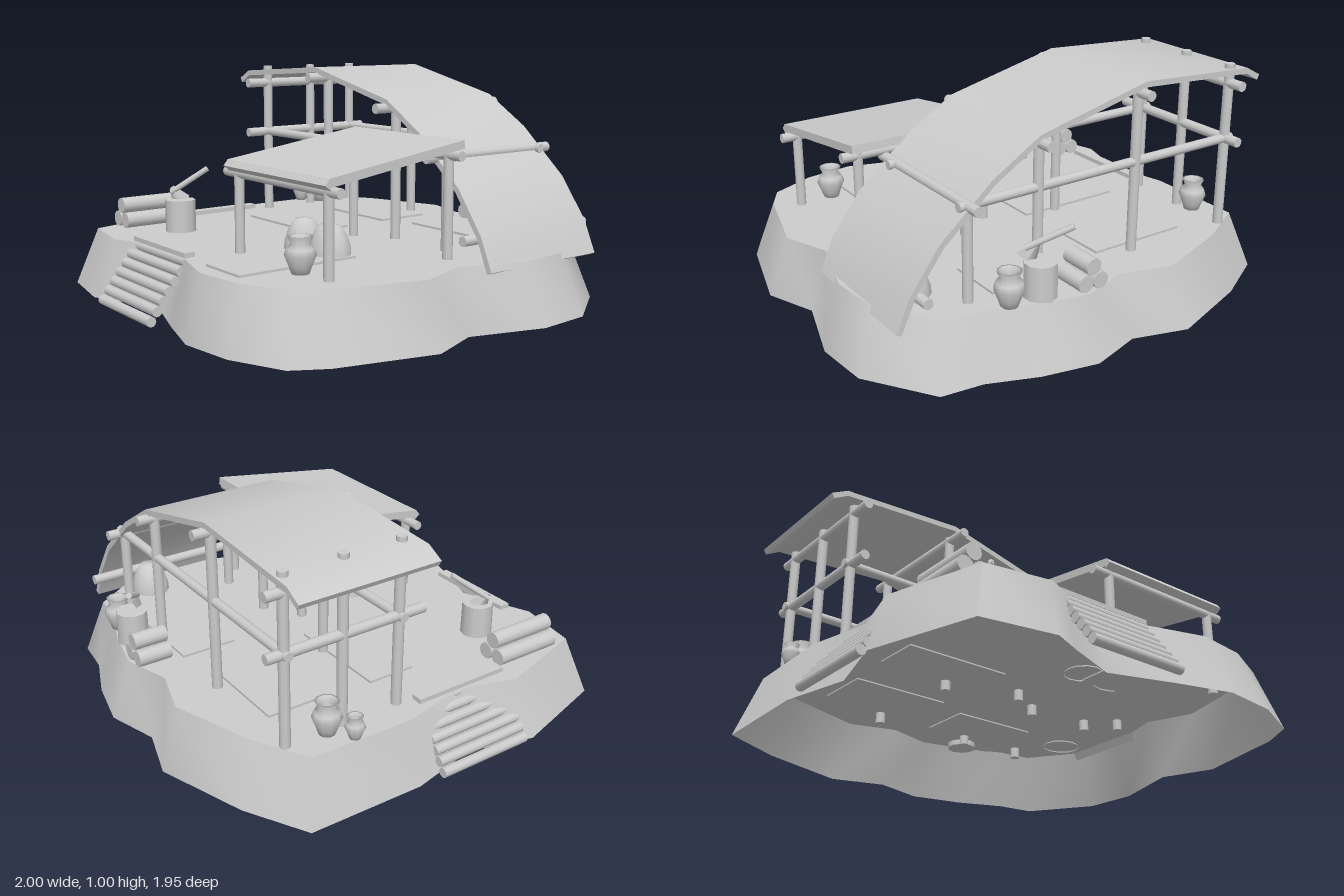
import * as THREE from 'three';
import { toCreasedNormals } from 'three/addons/utils/BufferGeometryUtils.js';

const GROUND = 0.26;
const V = (x, y, z) => new THREE.Vector3(x, y, z);

export function createModel() {
  const root = new THREE.Group();
  const mat = new THREE.MeshStandardMaterial({ color: 0xcccccc, side: THREE.DoubleSide });

  const add = (name, geo, parent = root) => {
    const m = new THREE.Mesh(geo, mat);
    m.name = name;
    parent.add(m);
    return m;
  };
  const group = (name) => {
    const g = new THREE.Group();
    g.name = name;
    root.add(g);
    return g;
  };
  // Round pole between two points
  const pole = (name, a, b, r, parent, sides = 10) => {
    const d = b.clone().sub(a);
    const m = add(name, new THREE.CylinderGeometry(r, r, d.length(), sides), parent);
    m.position.copy(a).addScaledVector(d, 0.5);
    m.quaternion.setFromUnitVectors(V(0, 1, 0), d.normalize());
    return m;
  };

  // Earth mound: sloping skirt and flat top, open below
  const outline = [
    [-0.96, -0.7], [-0.7, -0.845], [-0.31, -0.98], [-0.07, -0.91], [0.16, -0.98], [0.4, -0.93],
    [0.61, -0.85], [0.79, -0.83], [0.98, -0.55], [1, -0.3], [0.9, 0.03], [0.99, 0.26],
    [0.88, 0.68], [0.8, 0.82], [0.57, 0.92], [0.32, 0.95], [0.08, 0.88], [-0.19, 0.79],
    [-0.41, 0.87], [-0.54, 0.925], [-0.845, 0.87], [-0.98, 0.41], [-0.9, 0.12], [-0.97, -0.19],
  ];
  const k = 0.91, n = outline.length, pos = [], idx = [];
  outline.forEach(([x, z], i) => {
    pos.push(x, 0, z, x * k, GROUND, z * k);
    const b = 2 * i, c = 2 * ((i + 1) % n);
    idx.push(b, b + 1, c + 1, b, c + 1, c);
  });
  const skirt = new THREE.BufferGeometry();
  skirt.setAttribute('position', new THREE.Float32BufferAttribute(pos, 3));
  skirt.setIndex(idx);
  add('moundSide', toCreasedNormals(skirt, 0.9));
  const topShape = new THREE.Shape(outline.map(([x, z]) => new THREE.Vector2(x * k, -z * k)));
  add('moundTop', new THREE.ShapeGeometry(topShape).rotateX(-Math.PI / 2).translate(0, GROUND, 0));

  // Log steps: built facing +z, then turned
  const steps = (name, x, z, turn) => {
    const g = group(name);
    for (let i = 0; i < 7; i++) {
      const y = 0.022 + i * 0.037, out = 0.09 - i * 0.028;
      pole('stepLog', V(-0.222, y, out), V(0.222, y, out), 0.022, g);
    }
    add('stepBoard', new THREE.BoxGeometry(0.444, 0.02, 0.05), g).position.set(0, 0.272, -0.09);
    g.position.set(x, 0, z);
    g.rotation.y = turn;
  };
  steps('frontSteps', -0.185, 0.855, 0);
  steps('sideSteps', -0.885, 0.14, -Math.PI / 2);

  // Sheet of given thickness following a profile, extruded along its depth
  const sheet = (pts, t, depth) => {
    const s = new THREE.Shape();
    pts.forEach(([x, y], i) => (i ? s.lineTo(x, y) : s.moveTo(x, y)));
    [...pts].reverse().forEach(([x, y], i, a) => {
      const p = a[Math.max(i - 1, 0)], q = a[Math.min(i + 1, a.length - 1)];
      const dx = p[0] - q[0], dy = p[1] - q[1], l = Math.hypot(dx, dy);
      s.lineTo(x + (dy / l) * t, y - (dx / l) * t);
    });
    return toCreasedNormals(new THREE.ExtrudeGeometry(s, { depth, bevelEnabled: false }), 0.7);
  };

  // Large shelter with a curved roof reaching the ground
  const big = group('largeShelter');
  add('largeRoof', sheet([[-0.905, 0.925], [-0.83, 0.965], [-0.26, 1], [0.26, 0.878], [0.48, 0.745],
    [0.71, 0.545], [0.84, 0.37], [0.9, 0.235]], 0.025, 0.625), big).position.z = -0.712;
  for (const z of [-0.68, -0.155]) {
    for (const [x, h] of [[-0.755, 0.99], [-0.245, 0.97], [0.245, 0.85], [0.57, 0.66]])
      pole('post', V(x, 0.21, z), V(x, h, z), 0.022, big);
    pole('sideBeam', V(-0.79, 0.657, z), V(0.61, 0.657, z), 0.02, big);
  }
  pole('middlePost', V(-0.755, 0.21, -0.42), V(-0.755, 0.99, -0.42), 0.022, big);
  for (const [x, y] of [[-0.755, 0.905], [-0.245, 0.952], [0.245, 0.84], [-0.755, 0.657],
    [0.57, 0.657], [0.79, 0.35]])
    pole('crossBeam', V(x, y, -0.76), V(x, y, -0.035), 0.022, big);

  // Small lean-to with a sloping roof
  const small = group('smallShelter');
  const roof = add('smallRoof', sheet([[-0.6, 0.625], [-0.58, 0.65], [0.09, 0.745]], 0.035, 0.695), small);
  roof.rotation.y = Math.PI / 2;
  roof.position.x = 0.04;
  for (const [z, h] of [[0.55, 0.62], [-0.05, 0.71]]) {
    for (const x of [0.08, 0.69]) pole('post', V(x, 0.21, z), V(x, h, z), 0.021, small);
    pole('crossBeam', V(-0.012, h - 0.025, z), V(0.765, h - 0.025, z), 0.021, small);
  }

  // Ground mats
  for (const [x, z, w, d] of [[0.33, 0.51, 0.24, 0.56], [-0.335, -0.04, 0.49, 0.22],
    [-0.33, -0.5, 0.46, 0.26], [0.25, -0.56, 0.42, 0.25]])
    add('mat', new THREE.BoxGeometry(w, 0.016, d)).position.set(x, GROUND + 0.002, z);

  // Chopping stumps with axes
  const stump = (x, z, tail, head) => {
    const g = group('choppingStump');
    add('stump', new THREE.CylinderGeometry(0.068, 0.07, 0.17, 10), g).position.set(x, 0.32, z);
    pole('axeHandle', tail, head, 0.013, g, 8);
    const blade = add('axeBlade', new THREE.CylinderGeometry(0.012, 0.045, 0.08, 4), g);
    blade.scale.z = 0.4;
    const d = head.clone().sub(tail).normalize();
    blade.position.copy(head).addScaledVector(d, -0.03).add(V(0, -0.025, 0));
    blade.rotation.set(0, Math.atan2(-d.z, d.x), Math.sign(d.x) * 0.6);
  };
  stump(-0.49, 0.51, V(-0.43, 0.545, 0.4), V(-0.53, 0.435, 0.535));
  stump(0.31, -0.79, V(0.195, 0.54, -0.845), V(0.35, 0.45, -0.74));

  // Stacked firewood
  const firewood = (x, z, len) => {
    const g = group('firewood');
    for (const [dx, y] of [[-0.036, 0.297], [0.036, 0.297], [0, 0.362]])
      pole('log', V(x + dx, y, z - len / 2), V(x + dx, y, z + len / 2), 0.036, g, 12);
  };
  firewood(-0.73, 0.535, 0.31);
  firewood(0.12, -0.805, 0.15);

  // Clay jars, open at the neck
  const jar = (x, z, s) => {
    const profile = [[0, 0], [0.035, 0], [0.045, 0.03], [0.063, 0.075], [0.055, 0.1], [0.037, 0.12],
      [0.05, 0.148], [0.04, 0.148], [0.028, 0.12], [0.03, 0.08], [0, 0.07]];
    const m = add('jar', new THREE.LatheGeometry(profile.map(([r, y]) => new THREE.Vector2(r, y)), 10));
    m.position.set(x, GROUND - 0.002, z);
    m.scale.setScalar(s);
  };
  jar(-0.77, -0.5, 0.98);
  jar(-0.855, -0.43, 0.66);
  jar(0.455, -0.79, 1);
  jar(0.53, 0.565, 1);

  // Slumped sacks
  for (const [x, z, w] of [[0.165, 0.285, 0.085], [0.345, 0.285, 0.1], [0.73, -0.5, 0.095]]) {
    const profile = [[1, 0], [0.98, 0.04], [0.8, 0.09], [0.5, 0.132], [0, 0.138]];
    const m = add('sack', new THREE.LatheGeometry(profile.map(([r, y]) => new THREE.Vector2(r, y)), 12));
    m.position.set(x, GROUND - 0.005, z);
    m.scale.set(w, 1, 0.085);
  }

  return root;
}
